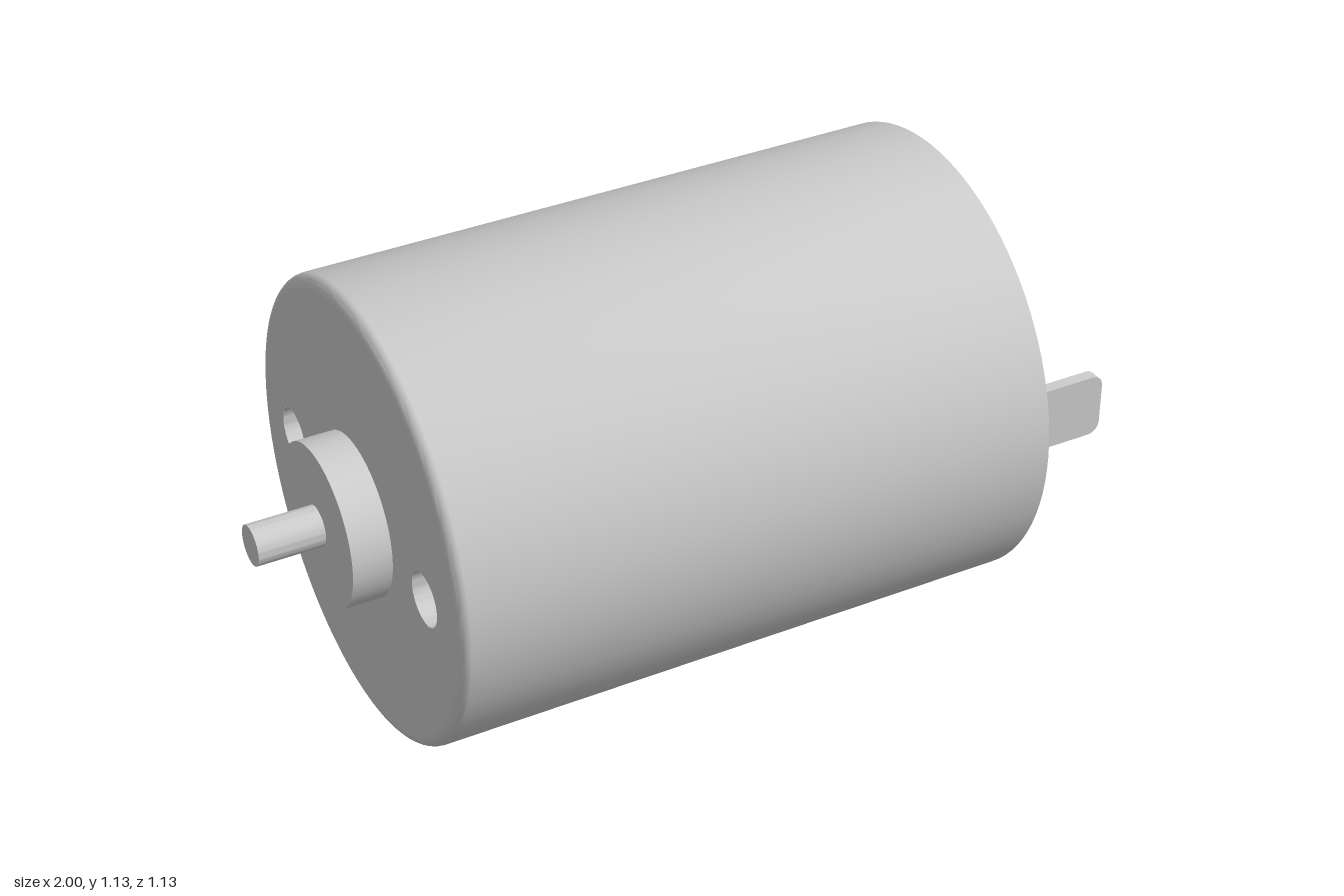
import * as THREE from 'three';
import { toCreasedNormals } from 'three/addons/utils/BufferGeometryUtils.js';

const SEG = 96;
const BACK = -0.742, FRONT = 0.756, R = 0.557;
const EDGE = 0.03; // fillet of the can's shaft end
const HOLE_Z = 0.365, HOLE_R = 0.065;

export function createModel() {
  const motor = new THREE.Group();
  motor.name = 'electricMotor';
  const material = new THREE.MeshStandardMaterial({ color: 0xcccccc });

  const add = (name, geometry, parent = motor) => {
    const mesh = new THREE.Mesh(geometry, material);
    mesh.name = name;
    parent.add(mesh);
    return mesh;
  };

  // Surface of revolution about the x axis; profile points are [radius, x]
  const turned = (profile, segments = SEG) => {
    const g = new THREE.LatheGeometry(profile.map(([r, x]) => new THREE.Vector2(r, x)), segments);
    g.rotateZ(-Math.PI / 2);
    return toCreasedNormals(g, 0.5);
  };

  // Quarter-round profile points from angle a0, centred on (r, x)
  const fillet = (r, x, radius, a0) => Array.from({ length: 7 }, (_, i) => {
    const a = a0 + (i / 6) * Math.PI / 2;
    return [r + radius * Math.cos(a), x + radius * Math.sin(a)];
  });

  // Can: rounded at the shaft end, sharp and closed at the terminal end
  add('can', turned([
    ...fillet(R - EDGE, BACK + EDGE, EDGE, -Math.PI / 2),
    [R, FRONT], [0, FRONT],
  ]));

  // Shaft-end plate with two screw holes
  const plate = new THREE.Shape().absarc(0, 0, R - EDGE, 0, Math.PI * 2);
  for (const side of [-1, 1]) {
    plate.holes.push(new THREE.Path().absarc(side * HOLE_Z, 0, HOLE_R, 0, Math.PI * 2, true));
    const hole = add('screwHole', turned([[0, BACK + 0.2], [HOLE_R, BACK + 0.2], [HOLE_R, BACK]], 48));
    hole.position.z = side * HOLE_Z;
  }
  const plateGeometry = new THREE.ShapeGeometry(plate, 48);
  plateGeometry.rotateY(-Math.PI / 2).translate(BACK, 0, 0);
  add('shaftEndPlate', plateGeometry);

  // Bearing hub and output shaft
  add('bearingHub', turned([[0, -0.838], [0.197, -0.838], [0.197, BACK]]));
  add('shaft', turned([[0, -1], [0.049, -1], [0.049, -0.838]], 48));

  // Rounded rear bearing cap
  add('rearBearingCap', turned([
    [0.152, FRONT], ...fillet(0.122, 0.83, 0.03, 0), [0, 0.86],
  ]));

  // Terminal blades with rounded outer corners
  const h = 0.081, c = 0.03, tip = 0.995;
  const blade = new THREE.Shape();
  blade.moveTo(FRONT - 0.01, -h);
  blade.lineTo(tip - c, -h);
  blade.absarc(tip - c, -h + c, c, -Math.PI / 2, 0);
  blade.absarc(tip - c, h - c, c, 0, Math.PI / 2);
  blade.lineTo(FRONT - 0.01, h);
  const bladeGeometry = toCreasedNormals(
    new THREE.ExtrudeGeometry(blade, { depth: 0.03, bevelEnabled: false, curveSegments: 6 })
      .translate(0, 0, -0.015), 0.5);
  for (const side of [-1, 1]) add('terminal', bladeGeometry).position.z = side * 0.409;

  // The motor lies very slightly askew
  motor.rotation.set(0.0087, 0.0085, 0.0087);
  motor.position.set(0, 0.565, -0.004);
  const root = new THREE.Group();
  root.add(motor);
  return root;
}
